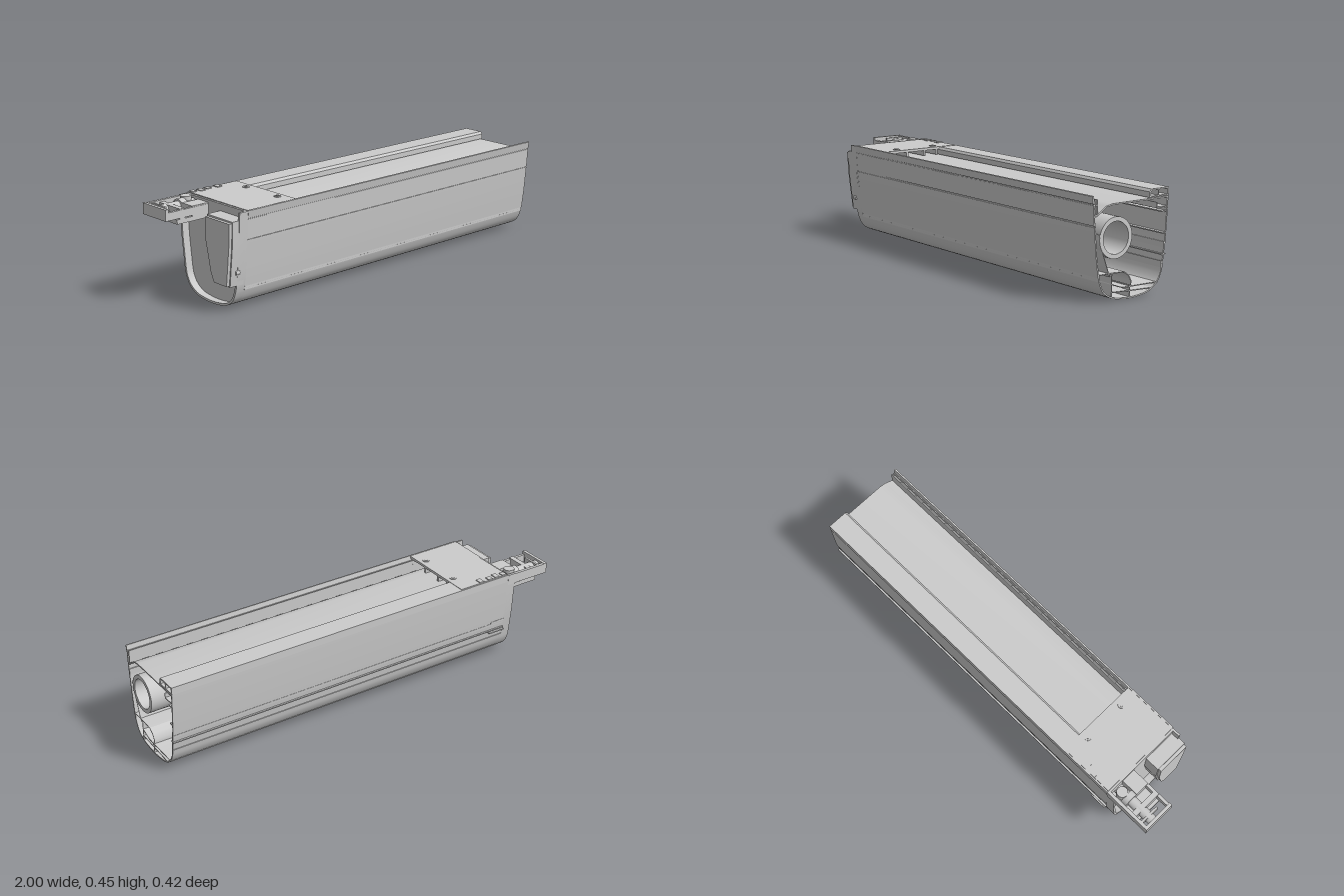
import * as THREE from 'three';
import { toCreasedNormals } from 'three/addons/utils/BufferGeometryUtils.js';

const mat = new THREE.MeshStandardMaterial({ color: 0xcccccc, side: THREE.DoubleSide });

export function createModel() {
  const root = new THREE.Group();
  const add = (name, geo) => {
    const m = new THREE.Mesh(geo, mat);
    m.name = name;
    root.add(m);
    return m;
  };
  // box given by its limits
  const box = (name, x0, x1, y0, y1, z0, z1) => {
    const m = add(name, new THREE.BoxGeometry(x1 - x0, y1 - y0, z1 - z0));
    m.position.set((x0 + x1) / 2, (y0 + y1) / 2, (z0 + z1) / 2);
    return m;
  };
  // cylinder between x0 and x1, or standing between y0 and y1
  const rodX = (name, x0, x1, y, z, r) => {
    const m = add(name, new THREE.CylinderGeometry(r, r, x1 - x0, 24));
    m.rotation.z = Math.PI / 2;
    m.position.set((x0 + x1) / 2, y, z);
  };
  const rodY = (name, x, z, y0, y1, r) => {
    const m = add(name, new THREE.CylinderGeometry(r, r, y1 - y0, 20));
    m.position.set(x, (y0 + y1) / 2, z);
  };
  // closed [z, y] section, with optional holes, extruded along x
  const prism = (name, pts, x0, x1, holes = []) => {
    const vec = (list) => list.map(([z, y]) => new THREE.Vector2(-z, y));
    const shape = new THREE.Shape(vec(pts));
    holes.forEach((h) => shape.holes.push(new THREE.Path(vec(h))));
    const g = new THREE.ExtrudeGeometry(shape, { depth: x1 - x0, bevelEnabled: false });
    g.rotateY(Math.PI / 2).translate(x0, 0, 0);
    return add(name, toCreasedNormals(g, 0.5));
  };
  // open [z, y] path thickened to the left of its direction
  const offset = (pts, t) => pts.map((p, i) => {
    const a = pts[Math.max(i - 1, 0)], b = pts[Math.min(i + 1, pts.length - 1)];
    const dz = b[0] - a[0], dy = b[1] - a[1], l = Math.hypot(dz, dy);
    return [p[0] - (dy / l) * t, p[1] + (dz / l) * t];
  });
  const strip = (name, pts, t, x0, x1) => prism(name, [...pts, ...offset(pts, t).reverse()], x0, x1);
  const circle = (z, y, r, n = 40) => Array.from({ length: n }, (_, i) => {
    const a = (i / n) * Math.PI * 2;
    return [z + r * Math.cos(a), y + r * Math.sin(a)];
  });
  const curve = (pts, n) => new THREE.CatmullRomCurve3(pts.map(([z, y]) => new THREE.Vector3(z, y, 0)))
    .getPoints(n).map((p) => [p.x, p.y]);

  // outer section: back wall down, round belly, front wall up
  const backWall = [[-0.207, 0.44], [-0.204, 0.36], [-0.197, 0.25]];
  const belly = curve([[-0.182, 0.12], [-0.174, 0.085], [-0.15, 0.045], [-0.105, 0.015], [-0.05, 0.004], [0, 0.001],
    [0.05, 0.004], [0.1, 0.014], [0.143, 0.042], [0.165, 0.085], [0.173, 0.115]], 36);
  const frontWall = [[0.183, 0.19], [0.196, 0.32], [0.202, 0.41], [0.205, 0.443]];
  const outline = [...backWall, ...belly, ...frontWall];

  // long housing in separate panels with narrow joints
  const X0 = -0.765, X1 = 1;
  strip('backUpperPanel', [...backWall, [-0.193, 0.203]], 0.006, X0, X1);
  strip('backLowerPanel', [[-0.191, 0.197], [-0.182, 0.123]], 0.006, X0, X1);
  strip('bellyPanel', belly.slice(0, -2), 0.006, X0, X1);
  strip('frontLowerPanel', [[0.172, 0.108], [0.183, 0.19], [0.195, 0.317]], 0.006, X0, X1);
  strip('frontUpperPanel', [[0.196, 0.323], [0.201, 0.407]], 0.006, X0, X1);
  strip('frontLip', [[0.202, 0.413], [0.208, 0.445]], 0.008, X0, X1);
  // strips closing the joints from inside
  [[-0.187, 0.2], [-0.176, 0.12], [0.166, 0.105], [0.189, 0.32], [0.195, 0.41]].forEach(([z, y]) =>
    box('jointBacking', X0, X1, y - 0.014, y + 0.014, z - 0.003, z + 0.003));

  // recessed roof with a slope towards the front
  strip('recessedRoof', [[0.196, 0.362], [0.183, 0.365], [0.135, 0.398], [0.1, 0.405], [-0.2, 0.405]], 0.006, X0, X1);
  box('frontGutterWall', X0, X1, 0.37, 0.43, 0.178, 0.183);
  box('frontGutterFloor', X0, X1, 0.405, 0.41, 0.18, 0.2);

  // hollow rail along the back of the roof
  prism('backRail', [[-0.1, 0.408], [-0.1, 0.432], [-0.11, 0.443], [-0.207, 0.443], [-0.207, 0.408]], X0, X1,
    [[[-0.108, 0.413], [-0.108, 0.43], [-0.113, 0.437], [-0.2, 0.437], [-0.2, 0.413]]]);
  box('backRailWeb', X0, X1, 0.41, 0.44, -0.153, -0.148);
  box('backRailShelf', X0, X1, 0.36, 0.365, -0.2, -0.14);
  box('backRailHook', X0, X1, 0.36, 0.385, -0.145, -0.14);
  [0.34, 0.25, 0.16].forEach((y) => box('backWallLedge', X0, X1, y, y + 0.005, -0.195, -0.172));

  // roller tube and the sheet leaving it
  prism('rollerTube', circle(0.079, 0.263, 0.087), -0.74, X1, [circle(0.079, 0.263, 0.068)]);
  rodX('rollerPin', -0.77, -0.72, 0.263, 0.079, 0.05);
  strip('sheet', [[0.164, 0.285], [0.158, 0.24], [0.108, 0.105]], 0.003, -0.74, X1);

  // lower front rail inside the belly
  strip('lowerRailTop', [[0.165, 0.12], [0.09, 0.12], [0.03, 0.117], [0.005, 0.1], [-0.008, 0.075], [-0.008, 0.055]], 0.004, X0, X1);
  strip('lowerRailFloor', [[0.1, 0.075], [0.04, 0.053], [-0.155, 0.05]], 0.004, X0, X1);
  box('lowerRailWeb', X0, X1, 0.014, 0.12, 0.096, 0.1);
  box('lowerRailWeb', X0, X1, 0.003, 0.055, -0.002, 0.002);
  strip('lowerRailBase', [[0.096, 0.04], [-0.02, 0.034], [-0.12, 0.03]], 0.004, X0, X1);

  // closed end: wall, raised rim, and an outer cover at the front
  prism('endWall', outline, -0.775, -0.765);
  strip('endRim', outline, 0.01, -0.81, -0.765);
  strip('endArmHousing', [[-0.2, 0.15], [-0.14, 0.15], [-0.125, 0.25], [-0.125, 0.35], [-0.04, 0.36]], 0.006, -0.765, -0.68);
  rodX('endBoss', -0.765, -0.66, 0.31, -0.075, 0.032);
  rodX('endBoss', -0.765, -0.68, 0.17, -0.147, 0.024);
  [0.2, 0.25, 0.3, 0.35].forEach((y) => box('endRib', -0.765, -0.69, y, y + 0.008, -0.195, -0.125));
  prism('endCover', [[0.2, 0.41], [0.03, 0.41], [0.03, 0.3], [0.06, 0.16], [0.08, 0.12], [0.174, 0.12], [0.195, 0.3]], -0.845, -0.775);
  prism('endCoverFace', [[0.196, 0.403], [0.036, 0.403], [0.036, 0.3], [0.066, 0.165], [0.085, 0.126], [0.169, 0.126], [0.19, 0.3]], -0.86, -0.845);
  rodX('endScrew', -0.82, -0.8, 0.18, 0.178, 0.01);

  // top plate with its ribs and screws
  box('topPlate', X0, -0.5, 0.433, 0.445, -0.2, 0.2);
  [0.18, 0.08, -0.02, -0.09].forEach((z) => box('topPlateRib', X0, -0.5, 0.408, 0.435, z - 0.005, z + 0.005));
  [-0.09, 0.12].forEach((z) => {
    rodY('plateScrew', -0.535, z, 0.44, 0.448, 0.016);
    rodY('plateScrewHead', -0.535, z, 0.448, 0.45, 0.008);
  });

  // coupling that sticks out at the back corner
  box('couplingSide', -1, -0.77, 0.39, 0.438, -0.207, -0.192);
  box('couplingSide', -1, -0.77, 0.39, 0.425, -0.062, -0.048);
  box('couplingEnd', -1, -0.985, 0.39, 0.44, -0.207, -0.048);
  box('couplingFloor', -0.94, -0.77, 0.365, 0.385, -0.2, -0.05);
  box('couplingBridge', -0.925, -0.9, 0.37, 0.43, -0.2, -0.05);
  box('couplingBridge', -0.965, -0.955, 0.395, 0.435, -0.2, -0.1);
  rodX('couplingPin', -0.99, -0.78, 0.408, -0.15, 0.024);
  rodX('couplingCollar', -0.86, -0.83, 0.405, -0.15, 0.036);
  box('couplingBlock', -0.86, -0.77, 0.365, 0.43, -0.12, -0.05);
  rodY('couplingBolt', -0.81, -0.16, 0.4, 0.446, 0.025);

  // small clips along the back of the plate
  [-0.75, -0.71, -0.67, -0.62].forEach((x, i) => box('topClip', x - 0.012, x + 0.012, 0.44, 0.449, -0.2, -0.175 + 0.008 * (i % 2)));

  return root;
}
